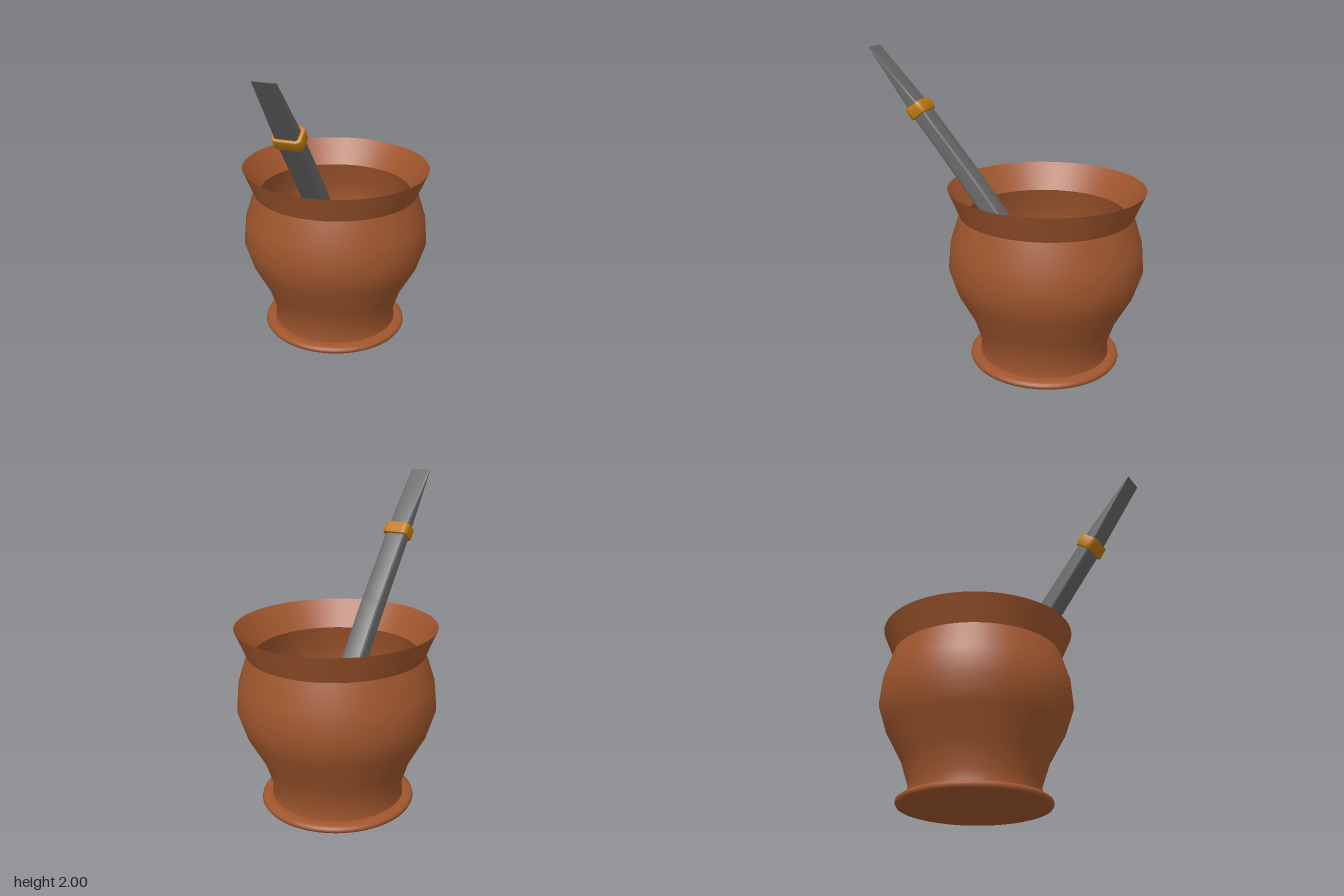
import * as THREE from 'three';
import { toCreasedNormals } from 'three/addons/utils/BufferGeometryUtils.js';

const clay = new THREE.MeshStandardMaterial({ color: 0xa0562d, side: THREE.DoubleSide });
const steel = new THREE.MeshStandardMaterial({ color: 0x686868 });
const brass = new THREE.MeshStandardMaterial({ color: 0xc07a0c });

function part(name, geometry, material) {
  const mesh = new THREE.Mesh(geometry, material);
  mesh.name = name;
  return mesh;
}

// Surface of revolution from [radius, height] pairs
function turned(name, profile) {
  const points = profile.map(([r, y]) => new THREE.Vector2(r, y));
  return part(name, new THREE.LatheGeometry(points, 96), clay);
}

// Rounded rectangle centred on the origin
function roundedRect(Kind, w, h, r) {
  const x = w / 2, y = h / 2, s = new Kind();
  s.moveTo(-x + r, -y).lineTo(x - r, -y);
  s.absarc(x - r, -y + r, r, -Math.PI / 2, 0);
  s.absarc(x - r, y - r, r, 0, Math.PI / 2);
  s.absarc(-x + r, y - r, r, Math.PI / 2, Math.PI);
  s.absarc(-x + r, -y + r, r, Math.PI, Math.PI * 1.5);
  return s;
}

// Straw: flat bar that thins and bends slightly toward the mouthpiece
function strawGeometry(length) {
  const shape = roundedRect(THREE.Shape, 0.14, 0.106, 0.018);
  const g = new THREE.ExtrudeGeometry(shape, { depth: length, steps: 32, bevelEnabled: false, curveSegments: 4 });
  const p = g.attributes.position;
  for (let i = 0; i < p.count; i++) {
    const z = p.getZ(i);
    const taper = THREE.MathUtils.clamp((z - 1.88) / (length - 1.88), 0, 1);
    const slim = 1 - 0.13 * THREE.MathUtils.smoothstep(z, 1.2, 1.88);
    const bend = -0.035 * THREE.MathUtils.clamp((z - 1.3) / (length - 1.3), 0, 1) ** 1.3;
    p.setY(i, p.getY(i) * slim * (1 - 0.93 * taper ** 1.1) + bend);
  }
  return toCreasedNormals(g, 0.6);
}

export function createModel() {
  const model = new THREE.Group();

  // Cup: foot, outer wall, flared lip and hollow inside
  const cup = new THREE.Group();
  cup.name = 'cup';
  cup.position.z = -0.27;
  cup.add(
    turned('footUnderside', [[0, 0], [0.34, 0], [0.46, 0.008]]),
    turned('footRing', [[0.46, 0.008], [0.478, 0.014], [0.486, 0.028], [0.483, 0.044], [0.468, 0.055], [0.44, 0.058], [0.41, 0.06]]),
    turned('outerWall', [[0.42, 0.055], [0.413, 0.14], [0.465, 0.3], [0.57, 0.49], [0.622, 0.65], [0.607, 0.82], [0.55, 1.0]]),
    turned('outerLip', [[0.55, 1.0], [0.622, 1.17]]),
    turned('innerLip', [[0.622, 1.17], [0.565, 1.09], [0.505, 1.0]]),
    turned('innerWall', [[0.505, 1.0], [0.56, 0.82], [0.575, 0.66], [0.525, 0.5], [0.42, 0.31], [0.38, 0.16], [0.38, 0.1]]),
    turned('cupFloor', [[0.38, 0.1], [0, 0.1]])
  );
  model.add(cup);

  // Leaning straw with its collar; local z runs along the straw
  const straw = new THREE.Group();
  straw.name = 'straw';
  straw.position.set(0.03, 0.09, -0.596);
  straw.rotation.x = -0.922;
  straw.add(part('strawBar', strawGeometry(2.42), steel));

  const ringShape = roundedRect(THREE.Shape, 0.164, 0.11, 0.026);
  ringShape.holes.push(roundedRect(THREE.Path, 0.13, 0.08, 0.014));
  const ring = new THREE.ExtrudeGeometry(ringShape, {
    depth: 0.065, bevelSize: 0.008, bevelThickness: 0.008, bevelSegments: 2, curveSegments: 6
  });
  const collar = part('collar', toCreasedNormals(ring, 0.7), brass);
  collar.position.set(0.002, -0.014, 1.89);
  straw.add(collar);
  model.add(straw);

  return model;
}
